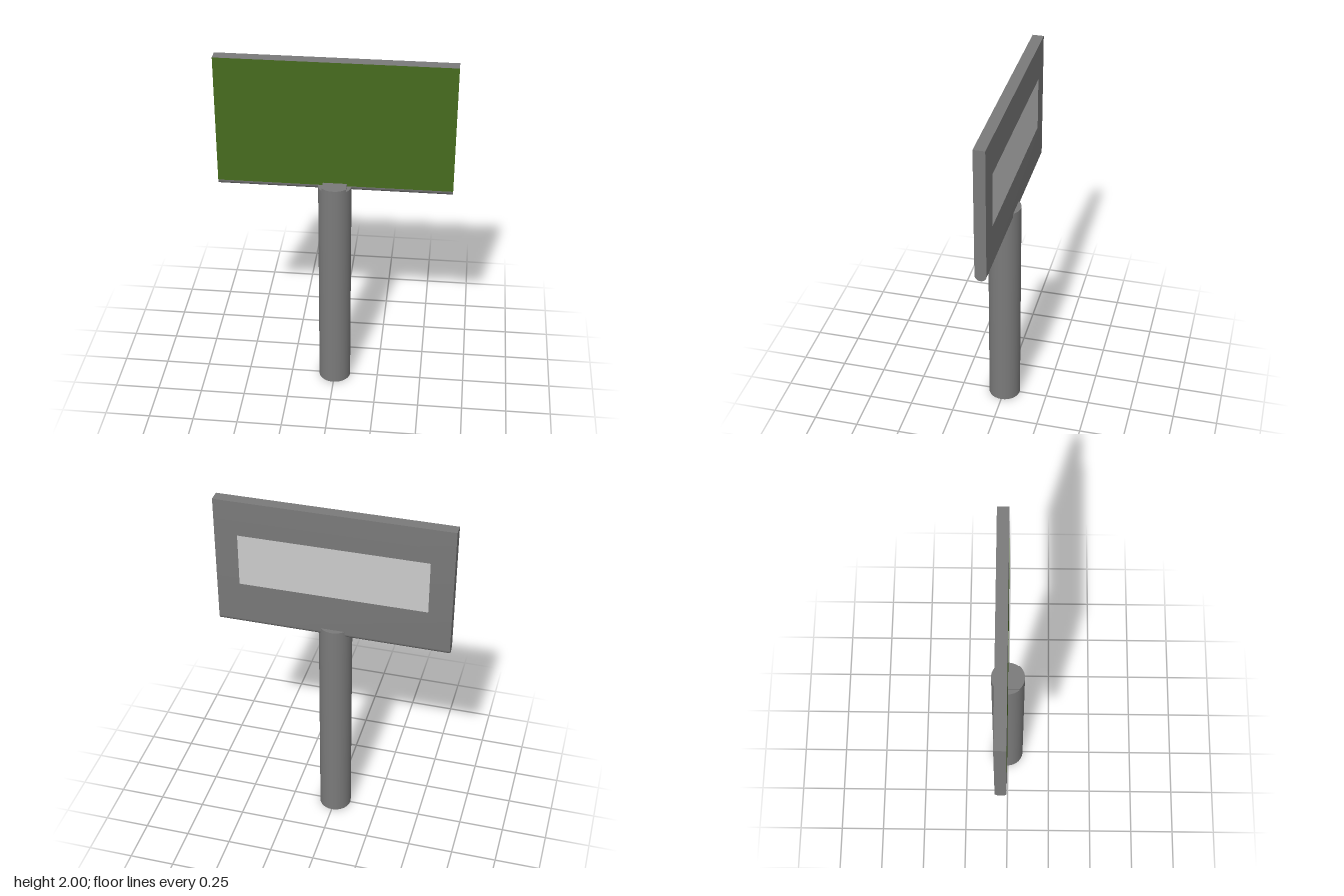
import * as THREE from 'three';
import { toCreasedNormals } from 'three/addons/utils/BufferGeometryUtils.js';

const WIDTH = 1.27, TOP = 2, THICK = 0.062, EDGE = THICK / 2;
const BOTTOM = 1.245 + EDGE; // where the rounded lower edge begins
const POLE_R = 0.09, SHOULDER = 1.275, POLE_TOP = 1.29;

function createModel() {
  const group = new THREE.Group();
  const add = (name, geometry, color) => {
    const mesh = new THREE.Mesh(geometry, new THREE.MeshStandardMaterial({ color }));
    mesh.name = name;
    group.add(mesh);
    return mesh;
  };
  const grey = 0x7a7a7a;

  // Round pole up to the shoulders
  const pole = add('pole', new THREE.CylinderGeometry(POLE_R, POLE_R, SHOULDER, 48), grey);
  pole.position.y = SHOULDER / 2;

  // Pole top: a disc with its left and right sides cut flat
  const a = Math.acos(0.065 / POLE_R);
  const disc = new THREE.Shape();
  disc.absarc(0, 0, POLE_R, a, Math.PI - a);
  disc.absarc(0, 0, POLE_R, Math.PI + a, 2 * Math.PI - a);
  disc.closePath();
  const topGeo = new THREE.ExtrudeGeometry(disc, {
    depth: POLE_TOP - SHOULDER, bevelEnabled: false, curveSegments: 16,
  });
  topGeo.rotateX(-Math.PI / 2).translate(0, SHOULDER, 0);
  add('poleTop', toCreasedNormals(topGeo, 0.5), grey);

  // Sign board: side profile with a half-round lower edge, run across the width
  const profile = new THREE.Shape();
  profile.moveTo(THICK, TOP);
  profile.lineTo(0, TOP);
  profile.lineTo(0, BOTTOM);
  profile.absarc(EDGE, BOTTOM, EDGE, Math.PI, 2 * Math.PI);
  profile.closePath();
  const boardGeo = new THREE.ExtrudeGeometry(profile, {
    depth: WIDTH, bevelEnabled: false, curveSegments: 16,
  });
  boardGeo.translate(0, 0, -WIDTH / 2).rotateY(Math.PI / 2);
  add('board', toCreasedNormals(boardGeo, 0.5), grey);

  // Green front face
  const face = add('frontFace', new THREE.PlaneGeometry(WIDTH, TOP - BOTTOM), 0x476b1e);
  face.position.set(0, (TOP + BOTTOM) / 2, 0.001);

  // Pale plate on the back
  const plate = add('backPlate', new THREE.PlaneGeometry(1.02, 0.3), 0xcccccc);
  plate.rotation.y = Math.PI;
  plate.position.set(0, 1.65, -THICK - 0.001);

  return group;
}

export { createModel };
